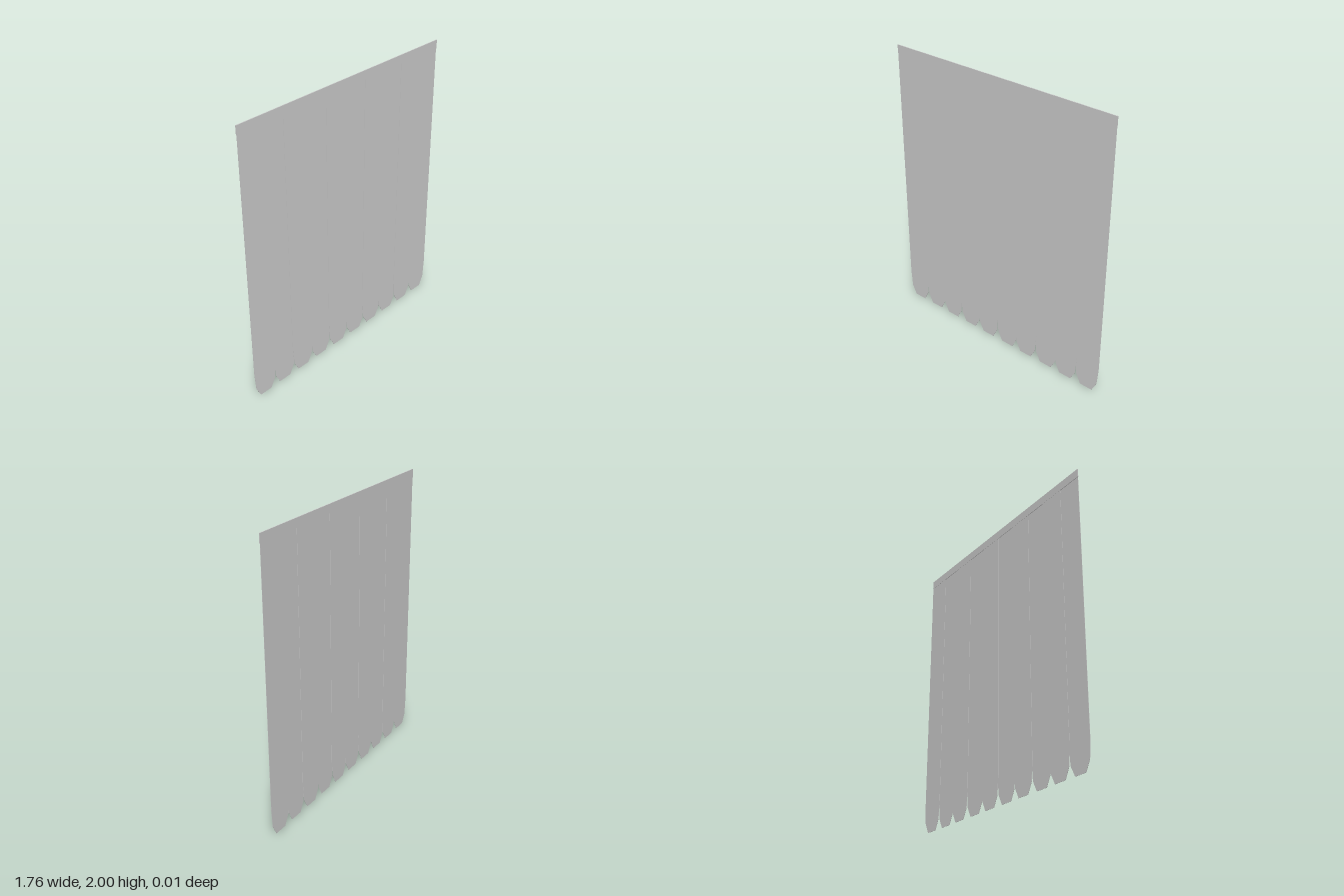
import * as THREE from 'three';

const HALF = 0.0925;   // half width of a strip
const THICK = 0.002;   // strip thickness
const TOP = 1.998;

// Long flat strip with a tapered, cut-off lower end
function stripGeometry() {
  const side = [[0.047, 0], [0.083, 0.07], [HALF, 0.2], [HALF, TOP]];
  const outline = [...side, ...side.slice().reverse().map(([x, y]) => [-x, y])];
  const shape = new THREE.Shape(outline.map(([x, y]) => new THREE.Vector2(x, y)));
  return new THREE.ExtrudeGeometry(shape, { depth: THICK, bevelEnabled: false });
}

export function createModel() {
  const model = new THREE.Group();
  model.name = 'stripCurtain';
  const material = new THREE.MeshStandardMaterial({ color: 0xcccccc });

  // Ten overlapping strips, alternately in front and behind, unevenly spaced
  const gaps = [0.1765, 0.172, 0.1765, 0.175, 0.177, 0.172, 0.1765, 0.1715, 0.1765];
  const geometry = stripGeometry();
  const strips = new THREE.Group();
  strips.name = 'strips';
  let x = -gaps.reduce((a, b) => a + b, 0) / 2;
  const halfSpan = -x + HALF;
  for (let i = 0; i <= gaps.length; i++) {
    const strip = new THREE.Mesh(geometry, material);
    strip.name = 'strip' + (i + 1);
    strip.position.set(x, 0, i % 2 ? -THICK : 0);
    strips.add(strip);
    x += gaps[i] ?? 0;
  }
  model.add(strips);

  // Thin header band clamping the tops of the strips
  const header = new THREE.Mesh(new THREE.BoxGeometry(halfSpan * 2 + 0.002, 0.06, 0.006), material);
  header.name = 'headerRail';
  header.position.y = 1.97;
  model.add(header);

  return model;
}
